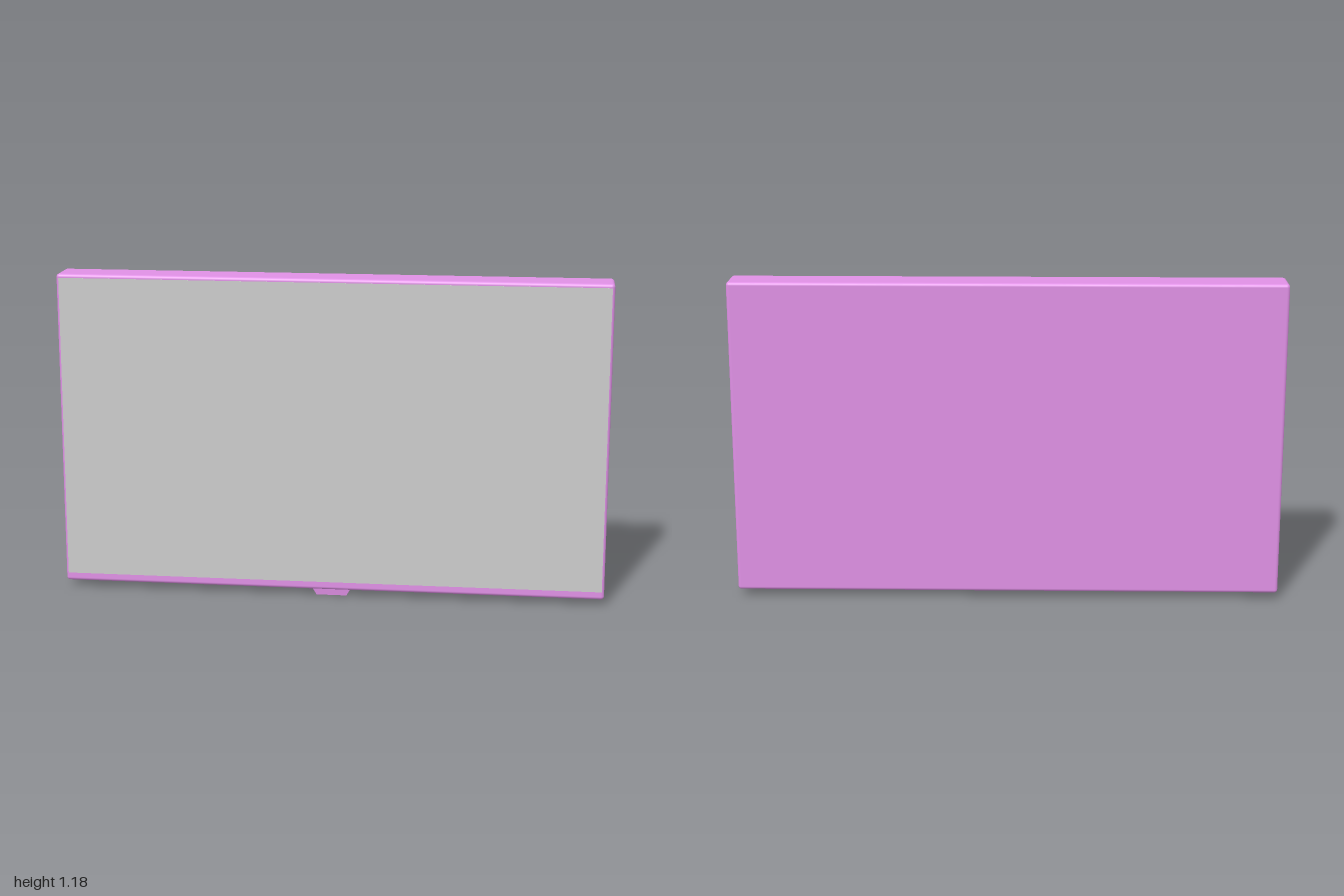
import * as THREE from 'three';
import { RoundedBoxGeometry } from 'three/addons/geometries/RoundedBoxGeometry.js';

const casingMaterial = new THREE.MeshStandardMaterial({ color: 0xdf90e5 });
const screenMaterial = new THREE.MeshStandardMaterial({ color: 0xcccccc });

function addPart(group, name, geometry, material, x, y, z) {
  const mesh = new THREE.Mesh(geometry, material);
  mesh.name = name;
  mesh.position.set(x, y, z);
  group.add(mesh);
}

// Box whose underside is narrower than its top
function taperedBox(width, height, depth, scaleX, scaleZ) {
  const geometry = new THREE.BoxGeometry(width, height, depth);
  const p = geometry.attributes.position;
  for (let i = 0; i < p.count; i++) {
    if (p.getY(i) < 0) p.setXYZ(i, p.getX(i) * scaleX, p.getY(i), p.getZ(i) * scaleZ);
  }
  geometry.computeVertexNormals();
  return geometry;
}

export function createModel() {
  const group = new THREE.Group();
  group.name = 'flatScreen';

  // Casing with softly rounded edges
  addPart(group, 'casing', new RoundedBoxGeometry(2, 1.16, 0.138, 4, 0.012), casingMaterial, 0, 0.605, 0);

  // Display panel, nearly flush with the narrow bezel
  addPart(group, 'screen', new THREE.BoxGeometry(1.982, 1.116, 0.006), screenMaterial, 0, 0.613, 0.0665);

  // Small sensor tab under the lower bezel
  addPart(group, 'sensorTab', taperedBox(0.146, 0.03, 0.026, 0.76, 0.75), casingMaterial, 0, 0.015, 0.042);

  return group;
}
